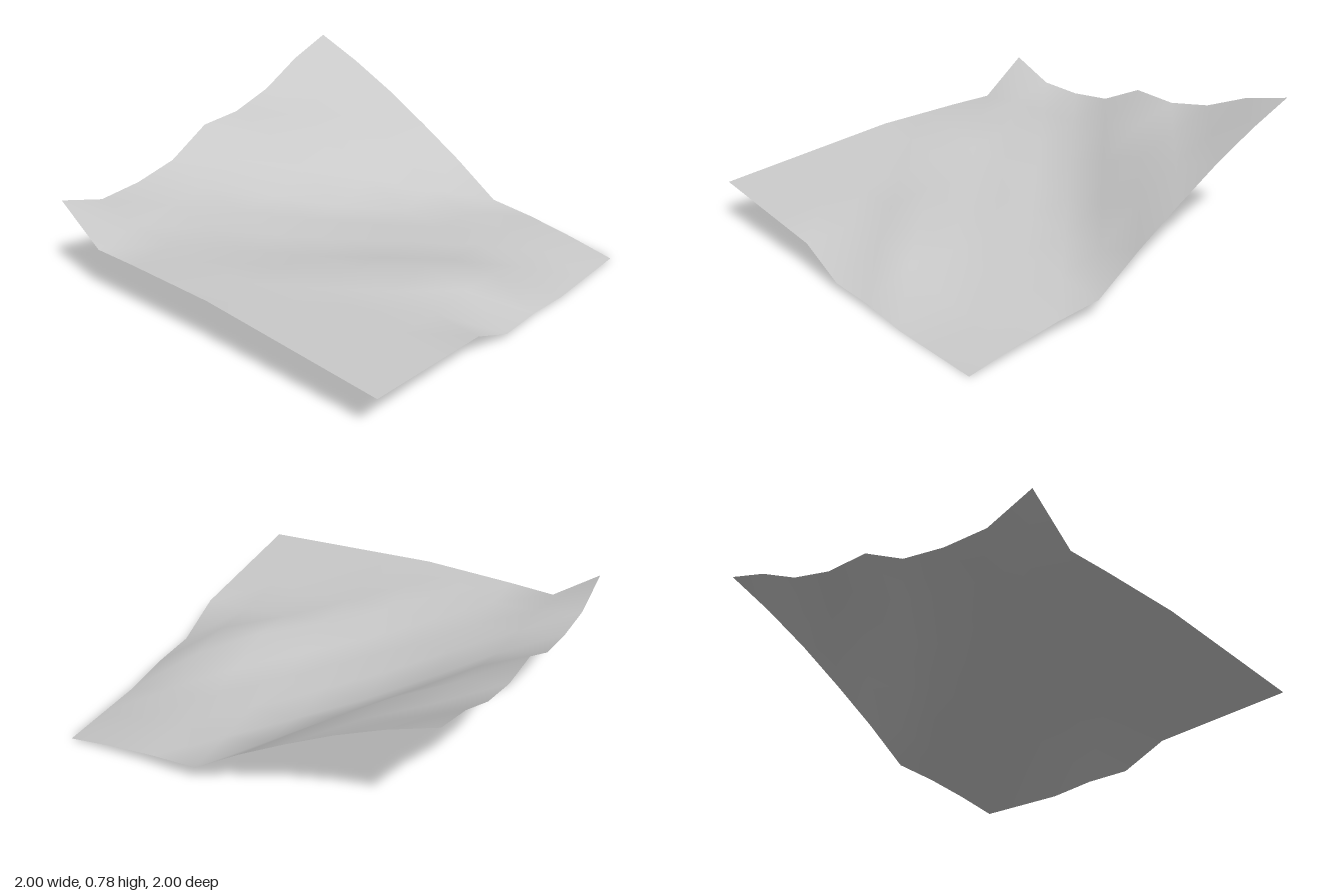
import * as THREE from 'three';

// Ground heights: rows run from back (z = -1) to front (z = 1), columns from x = -1 to x = 1
const HEIGHTS = [
  [0.49, 0.395, 0.395, 0.43, 0.55, 0.545, 0.60, 0.71, 0.78],
  [0.30, 0.33, 0.34, 0.35, 0.415, 0.475, 0.505, 0.585, 0.68],
  [0.305, 0.31, 0.30, 0.285, 0.27, 0.335, 0.44, 0.485, 0.56],
  [0.305, 0.305, 0.255, 0.235, 0.22, 0.20, 0.26, 0.365, 0.42],
  [0.305, 0.285, 0.265, 0.205, 0.195, 0.175, 0.155, 0.18, 0.27],
  [0.285, 0.26, 0.235, 0.24, 0.175, 0.155, 0.135, 0.115, 0.10],
  [0.265, 0.24, 0.215, 0.195, 0.225, 0.145, 0.12, 0.10, 0.08],
  [0.245, 0.22, 0.195, 0.17, 0.18, 0.155, 0.08, 0.055, 0.045],
  [0.225, 0.20, 0.175, 0.15, 0.035, 0.03, 0, 0, 0],
];

// Square height-field sheet whose cells split along the ridge direction
function terrainGeometry(rows) {
  const n = rows.length;
  const step = 2 / (n - 1);
  const positions = [];
  const indices = [];
  rows.forEach((row, r) => row.forEach((h, c) => positions.push(c * step - 1, h, r * step - 1)));
  for (let r = 0; r < n - 1; r++) {
    for (let c = 0; c < n - 1; c++) {
      const a = r * n + c;
      const b = a + n;
      indices.push(a, b, b + 1, a, b + 1, a + 1);
    }
  }
  const geometry = new THREE.BufferGeometry();
  geometry.setAttribute('position', new THREE.Float32BufferAttribute(positions, 3));
  geometry.setIndex(indices);
  geometry.computeVertexNormals();
  return geometry;
}

export function createModel() {
  const group = new THREE.Group();
  group.name = 'terrainTile';

  const grey = new THREE.MeshStandardMaterial({ color: 0xc8c8c8, side: THREE.DoubleSide });
  grey.name = 'grey';

  // Open ground surface
  const ground = new THREE.Mesh(terrainGeometry(HEIGHTS), grey);
  ground.name = 'groundSurface';
  group.add(ground);
  return group;
}
